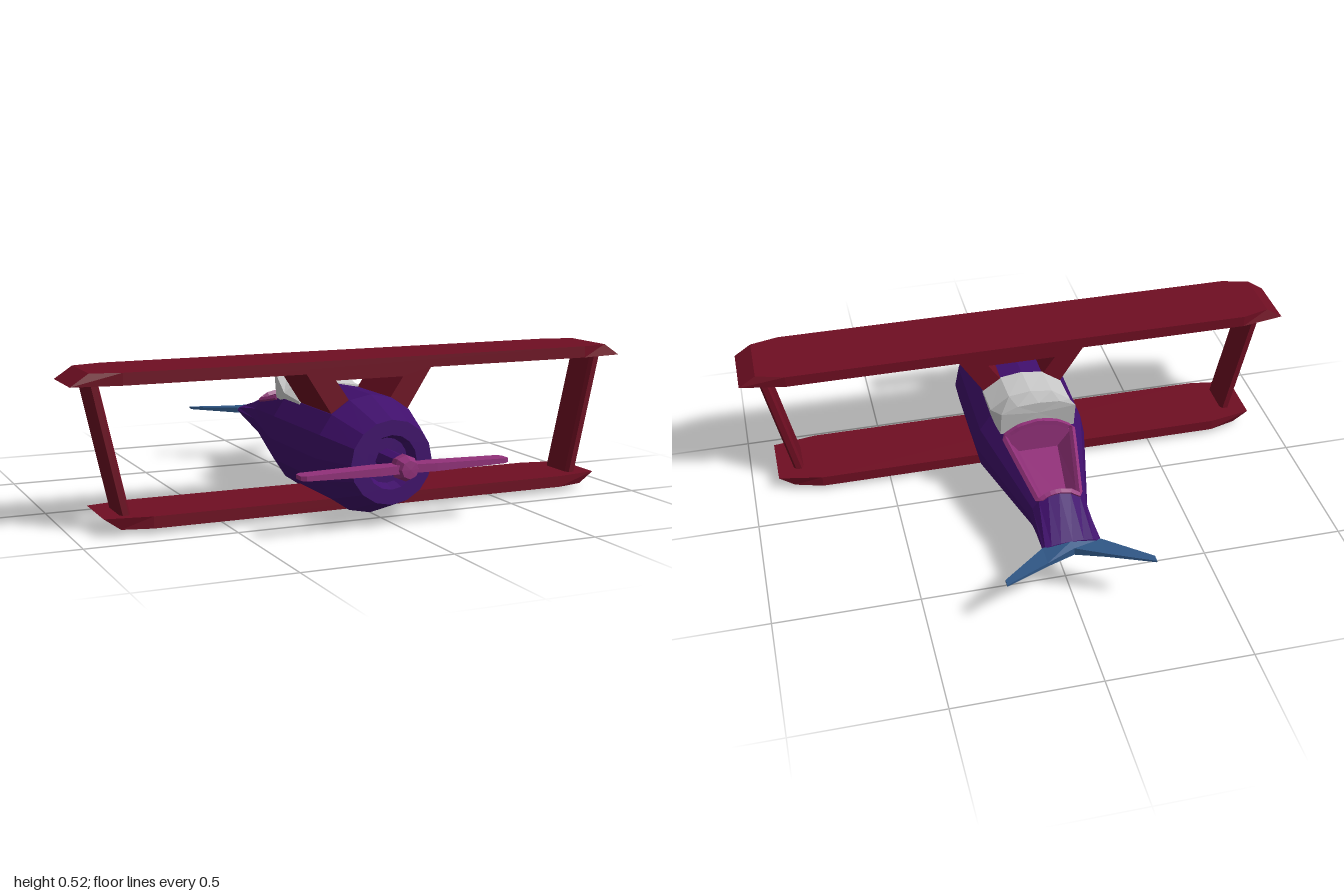
import * as THREE from 'three';

const paint = (name, color, side = THREE.FrontSide) => {
  const m = new THREE.MeshStandardMaterial({ color, flatShading: true, side });
  m.name = name;
  return m;
};

// Joins equal-length rings of [x, y, z] into a capped solid; skip(ring, point) leaves a face out
function loft(rings, skip = () => false) {
  const n = rings[0].length, pos = [];
  const tri = (...p) => p.forEach((q) => pos.push(...q));
  for (let r = 0; r < rings.length - 1; r++) {
    for (let i = 0; i < n; i++) {
      if (skip(r, i)) continue;
      const j = (i + 1) % n, a = rings[r], b = rings[r + 1];
      tri(a[i], a[j], b[j]);
      tri(a[i], b[j], b[i]);
    }
  }
  const cap = (ring, flip) => {
    const c = [0, 1, 2].map((k) => ring.reduce((s, p) => s + p[k], 0) / n);
    ring.forEach((p, i) => {
      const q = ring[(i + 1) % n];
      flip ? tri(c, q, p) : tri(c, p, q);
    });
  };
  cap(rings[0], true);
  cap(rings[rings.length - 1], false);
  // Turn all faces outward, judged by the enclosed volume
  let volume = 0;
  const v = (k) => new THREE.Vector3(pos[k], pos[k + 1], pos[k + 2]);
  for (let k = 0; k < pos.length; k += 9) volume += v(k).dot(v(k + 3).cross(v(k + 6)));
  if (volume < 0) {
    for (let k = 0; k < pos.length; k += 9) {
      for (let c = 0; c < 3; c++) [pos[k + 3 + c], pos[k + 6 + c]] = [pos[k + 6 + c], pos[k + 3 + c]];
    }
  }
  const g = new THREE.BufferGeometry();
  g.setAttribute('position', new THREE.Float32BufferAttribute(pos, 3));
  g.computeVertexNormals();
  return g;
}

export function createModel() {
  const red = paint('wing red', 0x6f0e22);
  const purple = paint('body purple', 0x400f6c);
  const pink = paint('trim magenta', 0x92317a, THREE.DoubleSide);
  const grey = paint('canopy grey', 0xcccccc, THREE.DoubleSide);
  const blue = paint('tail blue', 0x2f5685);

  const model = new THREE.Group();
  model.name = 'biplane';
  const add = (name, geometry, material) => {
    const mesh = new THREE.Mesh(geometry, material);
    mesh.name = name;
    model.add(mesh);
    return mesh;
  };

  // Fuselage: z, half width, half height, centre height; point 0 is at the top
  const SIDES = 16;
  const oval = (z, rx, ry, cy, i) => {
    const a = (i / SIDES) * Math.PI * 2;
    return [rx * Math.sin(a), cy + ry * Math.cos(a), z];
  };
  const front = [-0.1, 0.172, 0.17, 0.2], rear = [-0.4, 0.1, 0.095, 0.198];
  const stations = [
    [0.54, 0.075, 0.075, 0.2], [0.58, 0.09, 0.09, 0.2], [0.58, 0.145, 0.14, 0.2],
    [0.42, 0.2, 0.2, 0.2], [0.02, 0.2, 0.2, 0.2], front, rear, [-0.58, 0.1, 0.022, 0.203],
  ];
  const bodyRings = stations.map((s) => Array.from({ length: SIDES }, (_, i) => oval(...s, i)));
  const isCockpit = (r, i) => r === 5 && (i < 2 || i >= SIDES - 2);
  add('fuselage', loft(bodyRings, isCockpit), purple);

  // Cockpit: a tub with bulkheads at both ends, open at the top
  const arch = (s) => [-2, -1, 0, 1, 2].map((i) => oval(...s, i));
  const tub = (s, w, y) => [...arch(s), [w, y, s[0]], [-w, y, s[0]]];
  add('cockpit', loft([tub(front, 0.07, 0.25), tub(rear, 0.035, 0.22)], (r, i) => i < 4), pink);
  const rimPath = [...arch(front), ...arch(rear).reverse()].map((p) => new THREE.Vector3(...p));
  const rim = new THREE.CatmullRomCurve3(rimPath, true, 'catmullrom', 0.05);
  add('cockpitRim', new THREE.TubeGeometry(rim, 60, 0.011, 4, true), pink);

  // Canopy: flares upward to the back, with an undercut rear edge
  const hood = (z, zLow, w, low, ridge, t, shoulder, top) => [
    [-w, low, zLow], [-w, ridge, z], [-t, shoulder, z], [0, top, z],
    [t, shoulder, z], [w, ridge, z], [w, low, zLow],
  ];
  add('canopy', loft([
    hood(0.16, 0.16, 0.145, 0.33, 0.345, 0.078, 0.392, 0.404),
    hood(0.02, 0.02, 0.145, 0.325, 0.357, 0.078, 0.405, 0.415),
    hood(-0.105, -0.085, 0.132, 0.325, 0.422, 0.075, 0.447, 0.452),
  ]), grey);

  // Wings: clipped tips, the tip face leaning between the inner and outer span
  const wing = (name, low, high, spanLow, spanHigh, shoulder) => {
    const section = (xl, xh, z0, z1) => [[xl, low, z0], [xl, low, z1], [xh, high, z1], [xh, high, z0]];
    add(name, loft([
      section(-spanLow, -spanHigh, 0.185, 0.39),
      section(-shoulder, -shoulder, 0.155, 0.415),
      section(shoulder, shoulder, 0.155, 0.415),
      section(spanLow, spanHigh, 0.185, 0.39),
    ]), red);
  };
  wing('upperWing', 0.478, 0.518, 1, 0.94, 0.84);
  wing('lowerWing', 0.019, 0.058, 0.85, 0.905, 0.75);

  // Outer struts: leaning, with chamfered edges
  for (const s of [1, -1]) {
    const section = (x, y) => [
      [-0.018, 0.24], [-0.01, 0.225], [0.01, 0.225], [0.018, 0.24],
      [0.018, 0.355], [0.01, 0.37], [-0.01, 0.37], [-0.018, 0.355],
    ].map(([dx, z]) => [s * (x + dx), y, z]);
    add(s > 0 ? 'leftStrut' : 'rightStrut', loft([section(0.826, 0.05), section(0.922, 0.485)]), red);
  }

  // Centre mount between the body and the upper wing
  const outline = [[0.23, 0.482], [0.135, 0.335], [0.07, 0.375], [0.123, 0.452]];
  const mirrored = outline.map(([x, y]) => [-x, y]).reverse();
  const mount = new THREE.Shape([...outline, ...mirrored].map((p) => new THREE.Vector2(...p)));
  const mountGeometry = new THREE.ExtrudeGeometry(mount, { depth: 0.258, bevelEnabled: false });
  add('wingMount', mountGeometry.translate(0, 0, 0.156), red);

  // Tail fins: swept back to a thin edge; x, front z, front half height, back z, back half height
  const fin = (x, zf, hf, zb, hb) => [
    [x, 0.202 - hf, zf], [x, 0.202 + hf, zf], [x, 0.202 + hb, zb], [x, 0.202 - hb, zb],
  ];
  add('tail', loft([
    fin(-0.25, -0.69, 0.004, -0.715, 0.003),
    fin(-0.1, -0.575, 0.01, -0.648, 0.007),
    fin(0, -0.575, 0.024, -0.605, 0.014),
    fin(0.1, -0.575, 0.01, -0.648, 0.007),
    fin(0.25, -0.69, 0.004, -0.715, 0.003),
  ]), blue);

  // Propeller: shaft, faceted hub and two flat blades
  const shaft = add('propellerShaft', new THREE.CylinderGeometry(0.034, 0.04, 0.12, 8), purple);
  shaft.rotation.x = Math.PI / 2;
  shaft.position.set(0, 0.2, 0.59);
  const hubProfile = [[0, 0.635], [0.034, 0.635], [0.043, 0.655], [0.043, 0.68], [0.03, 0.71], [0, 0.712]];
  const hub = new THREE.LatheGeometry(hubProfile.map((p) => new THREE.Vector2(...p)), 8);
  const hubMesh = add('propellerHub', hub, pink);
  hubMesh.rotation.x = Math.PI / 2;
  hubMesh.position.y = 0.2;
  const blade = (x, dz, h) => [
    [x, 0.2 - h, 0.672 - dz], [x, 0.2 + h, 0.672 - dz], [x, 0.2 + h, 0.672 + dz], [x, 0.2 - h, 0.672 + dz],
  ];
  for (const s of [1, -1]) {
    add(s > 0 ? 'leftBlade' : 'rightBlade', loft([
      blade(0, 0.022, 0.014), blade(s * 0.1, 0.032, 0.013),
      blade(s * 0.35, 0.03, 0.008), blade(s * 0.366, 0.02, 0.007),
    ]), pink);
  }
  return model;
}
